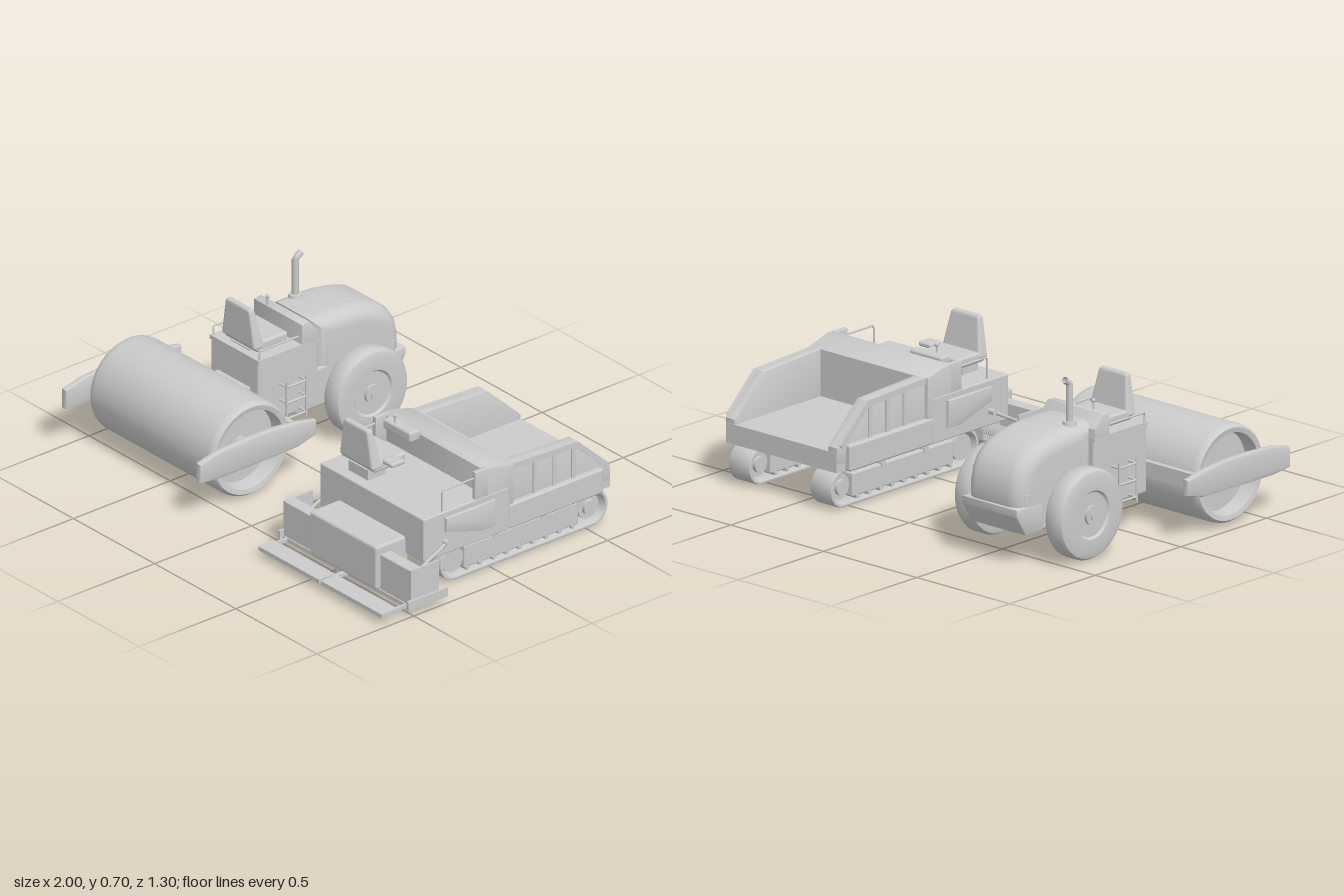
import * as THREE from 'three';
import { RoundedBoxGeometry } from 'three/addons/geometries/RoundedBoxGeometry.js';
import { toCreasedNormals } from 'three/addons/utils/BufferGeometryUtils.js';

const mat = new THREE.MeshStandardMaterial({ color: 0xcccccc, side: THREE.DoubleSide });

function add(parent, name, geo) {
  const m = new THREE.Mesh(geo, mat);
  m.name = name;
  parent.add(m);
  return m;
}
// Box given by its limits on each axis, optionally rounded
function box(parent, name, [x0, x1], [y0, y1], [z0, z1], r = 0) {
  const s = [x1 - x0, y1 - y0, z1 - z0];
  const g = r ? new RoundedBoxGeometry(...s, 2, r) : new THREE.BoxGeometry(...s);
  g.translate((x0 + x1) / 2, (y0 + y1) / 2, (z0 + z1) / 2);
  return add(parent, name, g);
}
// Side outline (z, y) extruded across x
function side(parent, name, outline, [x0, x1], bevel = 0, hole = null, steps = 2) {
  const toShape = o => o.map(p => new THREE.Vector2(...p));
  const shape = new THREE.Shape(toShape(outline));
  if (hole) shape.holes.push(new THREE.Path(toShape(hole)));
  const depth = x1 - x0 - 2 * bevel;
  const g = new THREE.ExtrudeGeometry(shape, {
    depth, bevelEnabled: bevel > 0, bevelThickness: bevel, bevelSize: bevel,
    bevelOffset: -bevel, bevelSegments: steps,
  });
  g.translate(0, 0, -depth / 2).rotateY(-Math.PI / 2).translate((x0 + x1) / 2, 0, 0);
  return add(parent, name, toCreasedNormals(g, 0.6));
}
// Profile (radius, x) turned about the x axis
function turned(parent, name, profile, x, y, z, seg = 40) {
  const g = new THREE.LatheGeometry(profile.map(p => new THREE.Vector2(...p)), seg);
  g.rotateZ(-Math.PI / 2).translate(x, y, z);
  return add(parent, name, toCreasedNormals(g, 0.6));
}
const disc = (parent, name, r, x0, x1, y, z, seg = 24) =>
  turned(parent, name, [[0, x0], [r, x0], [r, x1], [0, x1]], 0, y, z, seg);

function rod(parent, name, points, r) {
  const path = new THREE.CurvePath();
  const v = points.map(p => new THREE.Vector3(...p));
  for (let i = 1; i < v.length; i++) path.add(new THREE.LineCurve3(v[i - 1], v[i]));
  return add(parent, name, new THREE.TubeGeometry(path, (v.length - 1) * 8, r, 10));
}
// Stadium outline with ends at za and zb
function stadium(za, zb, y, r) {
  const pts = [];
  for (let i = 0; i <= 32; i++) {
    const a = -Math.PI / 2 + (i / 16) * Math.PI - (i > 16 ? Math.PI / 16 : 0);
    pts.push([(i <= 16 ? zb : za) + r * Math.cos(a), y + r * Math.sin(a)]);
  }
  return pts;
}
// Seat facing -z; y is the bottom of the cushion, z the foot of the backrest
function seat(parent, x, y, z) {
  const s = new THREE.Group();
  s.name = 'seat';
  s.position.set(x, y, z);
  parent.add(s);
  box(s, 'seatCushion', [-0.1, 0.1], [0, 0.044], [-0.145, 0.02], 0.012);
  box(s, 'seatPedestal', [-0.06, 0.06], [-0.06, 0], [-0.07, 0.02]);
  // Backrest, narrower and thinner towards the top
  const g = new RoundedBoxGeometry(0.2, 0.17, 0.05, 3, 0.012);
  const p = g.attributes.position;
  for (let i = 0; i < p.count; i++) {
    const t = p.getY(i) / 0.17 + 0.5;
    p.setX(i, p.getX(i) * (1.05 - 0.32 * t));
    p.setZ(i, p.getZ(i) * (1.08 - 0.5 * t) + 0.016 * t);
  }
  g.computeVertexNormals();
  g.translate(0, 0.1, 0.006);
  add(s, 'seatBack', g);
}
function lever(parent, x, y, z) {
  rod(parent, 'lever', [[x, y, z], [x, y + 0.035, z]], 0.004);
  add(parent, 'leverKnob', new THREE.SphereGeometry(0.009, 12, 8).translate(x, y + 0.037, z));
}

function buildRoller() {
  const g = new THREE.Group();
  g.name = 'roadRoller';
  // Hollow drum with recessed end discs
  turned(g, 'drum', [[0.165, -0.36], [0.17, -0.378], [0.19, -0.382], [0.2, -0.37], [0.203, -0.35],
    [0.203, 0.35], [0.2, 0.37], [0.19, 0.382], [0.17, 0.378], [0.165, 0.36], [0.165, -0.36]], 0, 0.213, 0.343, 56);
  disc(g, 'drumAxle', 0.035, -0.41, 0.41, 0.213, 0.343);
  for (const s of [-1, 1]) {
    disc(g, 'drumEndDisc', 0.168, s * 0.3 - 0.01, s * 0.3 + 0.01, 0.213, 0.343, 48);
    side(g, 'drumArm', [[0.645, 0.18], [0.645, 0.265], [0.54, 0.29], [0.41, 0.297], [0.27, 0.297], [0.14, 0.285],
      [0.045, 0.265], [0.045, 0.2], [0.14, 0.175], [0.54, 0.17]], [s * 0.413 - 0.017, s * 0.413 + 0.017], 0.01);
  }
  box(g, 'drumCrossbar', [-0.41, 0.41], [0.2, 0.265], [0.118, 0.142]);
  box(g, 'yoke', [-0.1, 0.1], [0.16, 0.3], [0.06, 0.13]);
  // Operator platform and chassis
  box(g, 'platform', [-0.148, 0.148], [0.14, 0.43], [-0.2, 0.11], 0.012);
  box(g, 'platformFloor', [-0.15, 0.15], [0.42, 0.437], [-0.2, 0.112]);
  box(g, 'chassis', [-0.147, 0.147], [0.13, 0.3], [-0.6, -0.08], 0.01);
  side(g, 'console', [[-0.112, 0.42], [-0.112, 0.524], [-0.15, 0.528], [-0.198, 0.475], [-0.198, 0.42]], [-0.15, 0.15], 0.006);
  lever(g, -0.07, 0.525, -0.12);
  seat(g, 0, 0.442, 0.06);
  // Rounded engine hood
  side(g, 'hood', [[-0.19, 0.15], [-0.19, 0.503], [-0.3, 0.504], [-0.39, 0.5], [-0.47, 0.486], [-0.54, 0.463],
    [-0.595, 0.42], [-0.625, 0.37], [-0.638, 0.31], [-0.638, 0.24], [-0.6, 0.15]], [-0.147, 0.147], 0.065, null, 6);
  side(g, 'counterweight', [[-0.5, 0.13], [-0.5, 0.245], [-0.652, 0.245], [-0.652, 0.215], [-0.6, 0.13]],
    [-0.15, 0.15], 0.008);
  // Exhaust
  const ex = -0.085;
  add(g, 'exhaustFlange', new THREE.CylinderGeometry(0.026, 0.03, 0.018, 20).translate(ex, 0.508, -0.275));
  rod(g, 'exhaustPipe', [[ex, 0.5, -0.275], [ex, 0.672, -0.275], [ex, 0.693, -0.305]], 0.014);
  // Rear wheels
  disc(g, 'rearAxle', 0.016, -0.3, 0.3, 0.187, -0.363);
  for (const s of [-1, 1]) {
    turned(g, 'tire', [[0.09, -0.035], [0.1, -0.047], [0.16, -0.049], [0.178, -0.043], [0.187, -0.028], [0.187, 0.028],
      [0.178, 0.043], [0.16, 0.049], [0.1, 0.047], [0.09, 0.035]], s * 0.244, 0.19, -0.363, 48);
    disc(g, 'wheelRim', 0.092, s * 0.244 - 0.038, s * 0.244 + 0.038, 0.19, -0.363, 32);
    disc(g, 'wheelHub', 0.04, s * 0.265 - 0.03, s * 0.265 + 0.03, 0.19, -0.363);
    // Ladder and handrail
    for (const y of [0.16, 0.23, 0.3])
      rod(g, 'step', [[s * 0.14, y, 0], [s * 0.192, y, 0], [s * 0.192, y, -0.1], [s * 0.14, y, -0.1]], 0.005);
    for (const z of [0, -0.1]) rod(g, 'ladderRail', [[s * 0.192, 0.14, z], [s * 0.192, 0.32, z]], 0.005);
    rod(g, 'handrail', [[s * 0.142, 0.43, 0.1], [s * 0.142, 0.475, 0.1], [s * 0.142, 0.475, -0.1]], 0.004);
  }
  return g;
}

function buildPaver() {
  const g = new THREE.Group();
  g.name = 'asphaltPaver';
  // Tractor body, deck and raised bulkhead
  box(g, 'body', [-0.32, 0.32], [0.165, 0.355], [-0.065, 0.378], 0.006);
  box(g, 'underframe', [-0.15, 0.15], [0.13, 0.17], [-0.5, 0.3]);
  side(g, 'bulkhead', [[0.055, 0.34], [0.055, 0.465], [0.04, 0.474], [0.01, 0.474], [-0.09, 0.445], [-0.09, 0.25], [0.055, 0.25]], [-0.318, 0.318], 0.006);
  box(g, 'controlPanel', [-0.26, -0.09], [0.44, 0.485], [0.05, 0.105], 0.01);
  lever(g, -0.2, 0.48, 0.09);
  seat(g, -0.14, 0.4, 0.31);
  box(g, 'armrest', [-0.045, 0.02], [0.433, 0.453], [0.22, 0.29], 0.008);
  for (const s of [-1, 1]) {
    const span = (a, b) => (s > 0 ? [a, b] : [-b, -a]);
    side(g, 'bulkheadCheek', [[0.108, 0.34], [0.108, 0.474], [0.04, 0.474], [0.04, 0.34]], span(0.295, 0.318), 0.004);
    side(g, 'sidePanel', [[0.27, 0.33], [0.015, 0.33], [0.015, 0.215], [0.09, 0.215], [0.27, 0.27]], span(0.31, 0.334), 0.006);
    rod(g, 'deckRail', [[s * 0.305, 0.35, 0.27], [s * 0.305, 0.445, 0.27], [s * 0.305, 0.445, 0.1]], 0.004);
    // Hopper sides with ribs
    side(g, 'hopperWall', [[-0.07, 0.2], [-0.07, 0.446], [-0.43, 0.43], [-0.6, 0.27], [-0.6, 0.2]], span(0.25, 0.3), 0.003);
    side(g, 'hopperRim', [[-0.07, 0.42], [-0.07, 0.446], [-0.43, 0.43], [-0.59, 0.28], [-0.575, 0.265], [-0.42, 0.405]], span(0.285, 0.308));
    box(g, 'hopperSideBox', span(0.27, 0.323), [0.165, 0.275], [-0.55, -0.06], 0.01);
    for (const z of [-0.21, -0.31, -0.41]) box(g, 'hopperRib', span(0.285, 0.306), [0.27, 0.415], [z - 0.01, z + 0.01]);
    // Crawler track
    const za = -0.53, zb = 0.174;
    side(g, 'trackBelt', stadium(za, zb, 0.084, 0.08), span(0.163, 0.276), 0.004, stadium(za, zb, 0.084, 0.066));
    box(g, 'trackFrame', span(0.178, 0.262), [0.03, 0.128], [-0.47, 0.12], 0.006);
    disc(g, 'idler', 0.054, s * 0.22 - 0.036, s * 0.22 + 0.036, 0.084, zb);
    disc(g, 'sprocket', 0.054, s * 0.22 - 0.03, s * 0.22 + 0.03, 0.084, za, 12);
    disc(g, 'sprocketHub', 0.033, s * 0.22 - 0.045, s * 0.22 + 0.045, 0.084, za);
    for (let i = 0; i < 9; i++) disc(g, 'trackRoller', 0.009, s * 0.22 - 0.044, s * 0.22 + 0.044, 0.027, -0.44 + i * 0.068, 12);
    for (const z of [-0.29, -0.04]) disc(g, 'carrierRoller', 0.014, s * 0.22 - 0.045, s * 0.22 + 0.045, 0.128, z, 16);
    // Screed tow arm
    rod(g, 'towArm', [[s * 0.335, 0.225, 0.27], [s * 0.335, 0.145, 0.43]], 0.007);
    disc(g, 'towPin', 0.012, s * 0.33 - 0.016, s * 0.33 + 0.016, 0.225, 0.27);
    // Screed wings, end plates and runners
    box(g, 'screedWing', span(0.2, 0.39), [0.04, 0.2], [0.45, 0.505], 0.005);
    box(g, 'screedEndPlate', span(0.383, 0.393), [0.03, 0.2], [0.36, 0.505]);
    box(g, 'screedRunner', span(0.39, 0.402), [0.03, 0.07], [0.32, 0.525]);
    box(g, 'screedFoot', span(0.006, 0.38), [0.03, 0.048], [0.565, 0.645]);
    box(g, 'screedStrut', span(0.36, 0.372), [0.03, 0.045], [0.45, 0.58]);
    // Auger flights
    for (let i = 0; i < 15; i++)
      disc(g, 'augerFlight', 0.026, s * (0.2 + i * 0.0125) - 0.002, s * (0.2 + i * 0.0125) + 0.002, 0.105, 0.375, 16);
  }
  // Hopper floor and front wall
  box(g, 'hopperFloor', [-0.298, 0.298], [0.167, 0.25], [-0.602, -0.06]);
  box(g, 'hopperFrontWall', [-0.29, 0.29], [0.2, 0.445], [-0.1, -0.07]);
  // Screed centre
  box(g, 'screedHousing', [-0.207, 0.207], [0.045, 0.237], [0.36, 0.528], 0.012);
  box(g, 'screedPlate', [-0.39, 0.39], [0.028, 0.045], [0.44, 0.51]);
  box(g, 'footLink', [-0.01, 0.01], [0.03, 0.045], [0.5, 0.58]);
  disc(g, 'augerShaft', 0.012, -0.39, 0.39, 0.105, 0.375, 14);
  return g;
}

export function createModel() {
  const model = new THREE.Group();
  model.name = 'roadBuildingMachines';
  const roller = buildRoller();
  roller.position.x = -0.57;
  const paver = buildPaver();
  paver.position.x = 0.595;
  model.add(roller, paver);
  return model;
}
